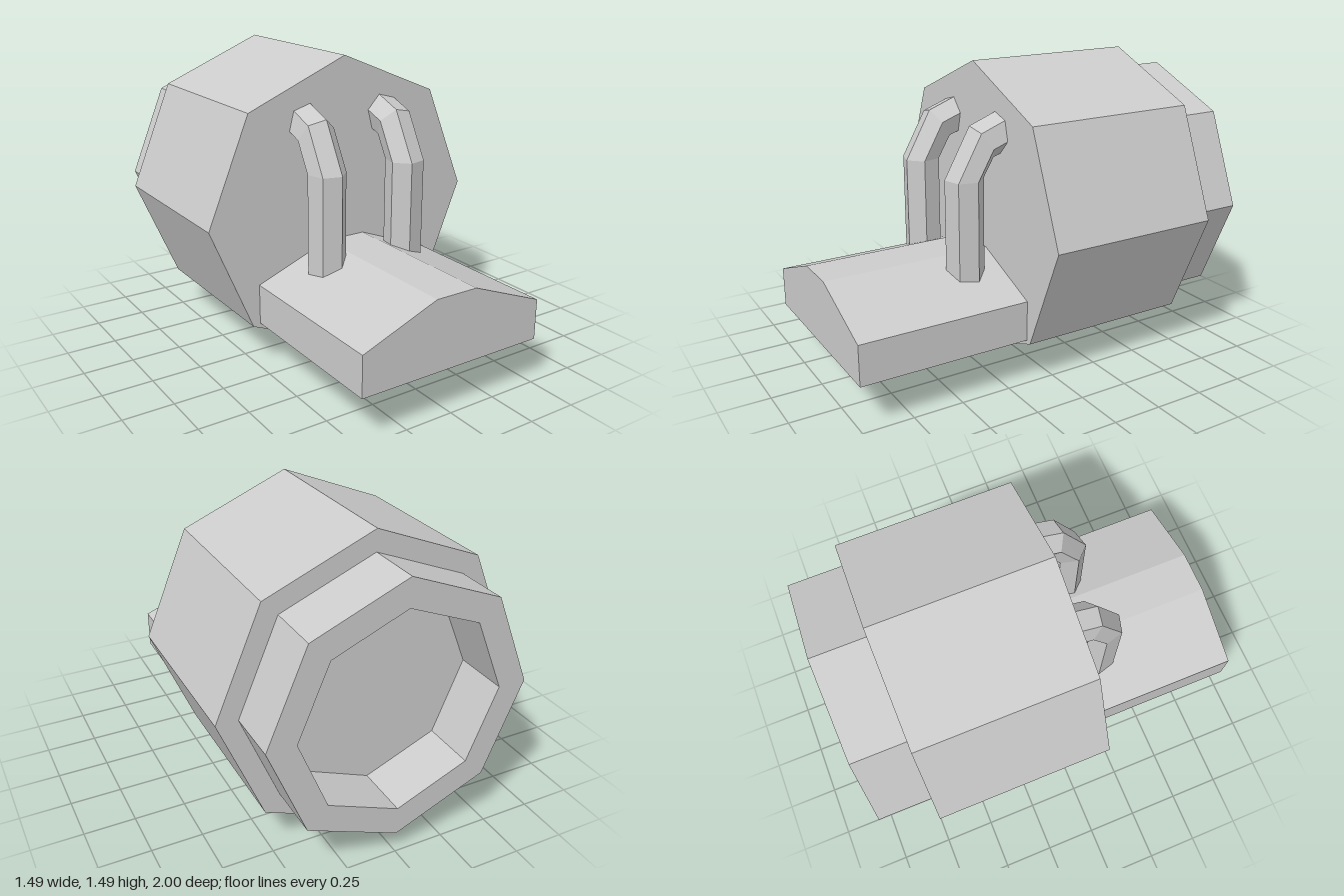
import * as THREE from 'three';

const mat = new THREE.MeshStandardMaterial({ color: 0xcccccc, flatShading: true });
const thinMat = new THREE.MeshStandardMaterial({ color: 0xcccccc, flatShading: true, side: THREE.DoubleSide });
const AXIS_Y = 0.747;

function part(name, geometry, material = mat) {
  const mesh = new THREE.Mesh(geometry, material);
  mesh.name = name;
  return mesh;
}

// Octagon with corners on the axes
function octagon(Type, r) {
  const pts = [];
  for (let i = 0; i < 8; i++) pts.push(new THREE.Vector2(r * Math.cos(i * Math.PI / 4), r * Math.sin(i * Math.PI / 4)));
  return new Type(pts);
}

// Surface through equally long cross-sections; closed joins last point to first
function loft(rings, closed) {
  const n = rings[0].length, index = [];
  for (let r = 0; r < rings.length - 1; r++) {
    for (let i = 0; i < (closed ? n : n - 1); i++) {
      const j = (i + 1) % n, a = r * n + i, b = r * n + j;
      index.push(a, b, b + n, a, b + n, a + n);
    }
  }
  const g = new THREE.BufferGeometry();
  g.setAttribute('position', new THREE.Float32BufferAttribute(rings.flat(2), 3));
  g.setIndex(index);
  const flat = g.toNonIndexed();
  flat.computeVertexNormals();
  return flat;
}

// Bent six-sided pipe; side is +1 or -1
function pipe(side) {
  // centre z, centre y, and the outward direction (z, y) of each section
  const sections = [
    [0.33, 0.49, 1, 0],
    [0.33, 0.99, 1, 0],
    [0.237, 1.155, 0.56, 0.83],
    [0.1, 1.205, 0.3, 0.95],
  ];
  const rings = sections.map(([cz, cy, uz, uy]) => {
    const ring = [];
    for (let i = 0; i < 6; i++) {
      const a = THREE.MathUtils.degToRad(45 + 60 * i);
      const out = 0.094 * Math.sin(a);
      ring.push([0.005 + side * (0.225 + 0.094 * Math.cos(a)), cy + out * uy, cz + out * uz]);
    }
    // keep the faces outward on both sides
    return side > 0 ? ring.reverse() : ring;
  });
  return loft(rings, true);
}

export function createModel() {
  const model = new THREE.Group();
  model.name = 'model';

  // Main octagonal drum
  const drum = new THREE.ExtrudeGeometry(octagon(THREE.Shape, 0.745), { depth: 0.88, bevelEnabled: false });
  drum.translate(0, AXIS_Y, -0.73);
  model.add(part('body', drum));

  // Rear collar, open at the back down to the drum
  const rim = octagon(THREE.Shape, 0.64);
  rim.holes.push(octagon(THREE.Path, 0.5));
  const collar = new THREE.ExtrudeGeometry(rim, { depth: 0.27, bevelEnabled: false });
  collar.translate(0, AXIS_Y, -1);
  model.add(part('rearCollar', collar));

  // Front ledge: thin shell, open underneath
  const profile = [[0.5, 0.23], [0.5, 0.43], [0.115, 0.58], [-0.105, 0.58], [-0.49, 0.43], [-0.49, 0.23]];
  const ledge = new THREE.Group();
  ledge.name = 'frontLedge';
  ledge.add(part('ledgeShell', loft([1, 0.15].map(z => profile.map(([x, y]) => [x, y, z]).reverse()), false), thinMat));
  const front = new THREE.ShapeGeometry(new THREE.Shape(profile.map(p => new THREE.Vector2(...p))));
  front.translate(0, 0, 1);
  ledge.add(part('ledgeFront', front, thinMat));
  model.add(ledge);

  // Pair of bent pipes from ledge to drum
  model.add(part('leftPipe', pipe(1), thinMat), part('rightPipe', pipe(-1), thinMat));

  return model;
}
